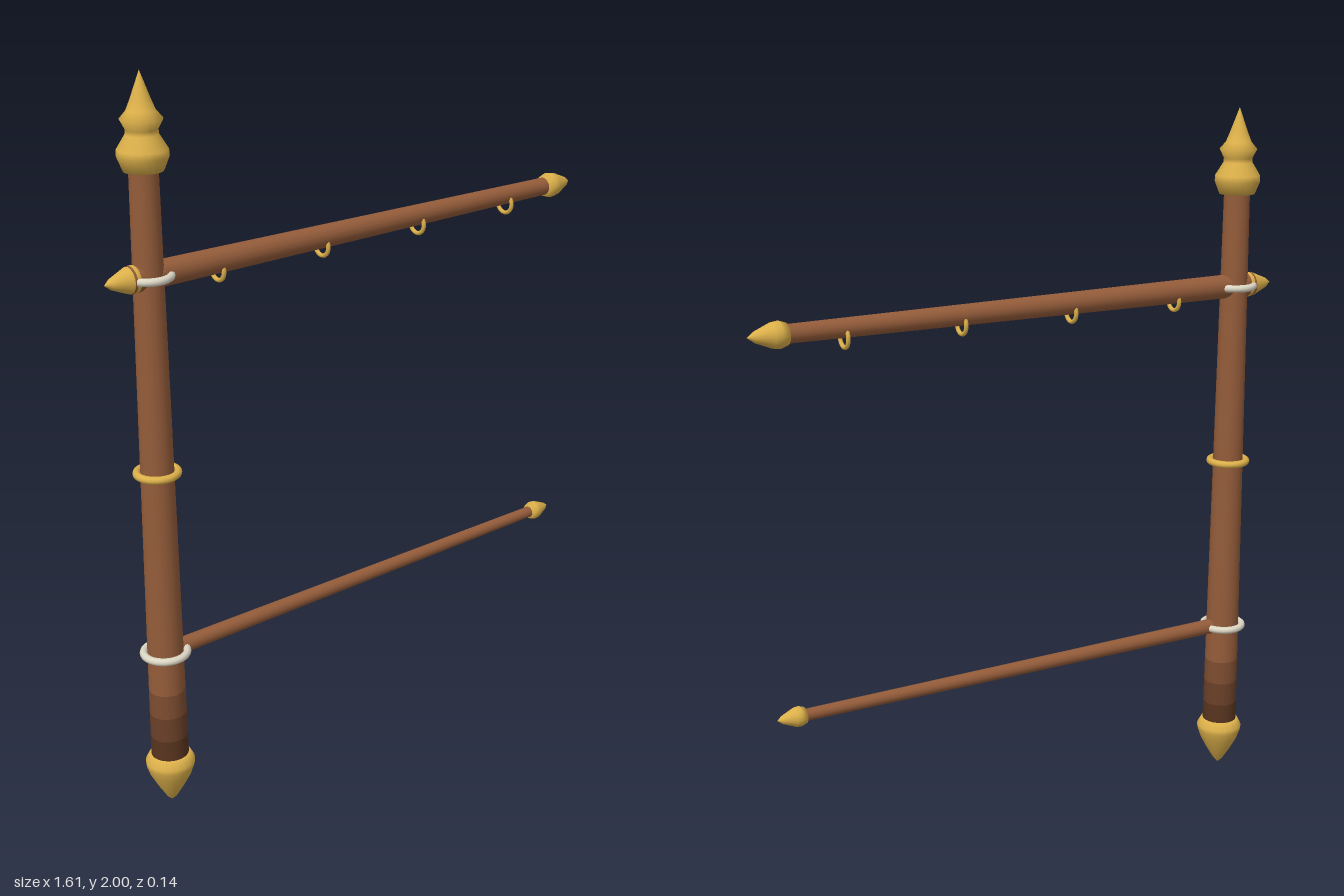
import * as THREE from 'three';

const mat = (name, color) => {
  const m = new THREE.MeshStandardMaterial({ color });
  m.name = name;
  return m;
};

export function createModel() {
  const wood = mat('wood', 0x945c3a);
  const stains = [mat('darkestWood', 0x58341f), mat('darkWood', 0x6a4028), mat('shadedWood', 0x7e4d30)];
  const gold = mat('gold', 0xdcb04a);
  const silver = mat('silver', 0xdcd6c4);

  const model = new THREE.Group();
  model.name = 'bannerStand';
  const postX = -0.677;

  const add = (name, geometry, material, x, y, rotZ = 0) => {
    const mesh = new THREE.Mesh(geometry, material);
    mesh.name = name;
    mesh.position.set(x, y, 0);
    mesh.rotation.z = rotZ;
    model.add(mesh);
  };
  const lathe = (pts, sides = 20) =>
    new THREE.LatheGeometry(pts.map(([r, y]) => new THREE.Vector2(r, y)), sides);

  // Tapered post, stained darker toward the foot
  const postRadius = y => 0.051 - (y - 0.13) * 0.0088;
  const post = (name, y0, y1, material) => add(name,
    new THREE.CylinderGeometry(postRadius(y1), postRadius(y0), y1 - y0, 20, 1, true), material, postX, (y0 + y1) / 2);
  stains.forEach((stain, i) => post('postStain' + (i + 1), 0.14 + i * 0.07, 0.21 + i * 0.07, stain));
  post('post', 0.35, 1.78, wood);

  // Spear-shaped finial and pointed foot
  add('topFinial', lathe([[0, 0], [0.05, 0], [0.064, 0.035], [0.063, 0.052], [0.041, 0.088],
    [0.04, 0.1], [0.053, 0.125], [0.036, 0.145], [0.025, 0.172], [0.013, 0.205], [0, 0.24]]),
  gold, postX, 1.763);
  add('footSpike', lathe([[0, 0], [0.055, 0], [0.067, 0.022], [0.066, 0.036], [0.057, 0.062],
    [0.037, 0.1], [0.014, 0.138], [0, 0.152]]), gold, postX, 0.152, Math.PI);

  // Horizontal arms
  const arm = (name, y, x0, x1, r0, r1) => add(name,
    new THREE.CylinderGeometry(r1, r0, x1 - x0, 16), wood, (x0 + x1) / 2, y, -Math.PI / 2);
  arm('upperArm', 1.5, -0.735, 0.72, 0.035, 0.025);
  arm('lowerArm', 0.46, -0.69, 0.71, 0.0225, 0.0165);

  // Pointed caps on the arm ends
  const cap = (name, x, y, r, length, dir) => add(name,
    lathe([[0, 0], [0.8 * r, 0], [r, 0.2 * length], [0.93 * r, 0.38 * length],
      [0.4 * r, 0.82 * length], [0, length]], 16), gold, x, y, -dir * Math.PI / 2);
  cap('upperArmRightCap', 0.696, 1.5, 0.036, 0.106, 1);
  cap('upperArmLeftCap', -0.7, 1.5, 0.036, 0.104, -1);
  cap('lowerArmCap', 0.688, 0.46, 0.028, 0.08, 1);

  // Bands around the post
  const band = (name, y, radius, tube, material) => {
    const g = new THREE.TorusGeometry(radius, tube, 10, 32).rotateX(Math.PI / 2);
    add(name, g, material, postX, y);
  };
  band('upperBinding', 1.5, 0.056, 0.0105, silver);
  band('middleBand', 0.978, 0.053, 0.0105, gold);
  band('lowerBinding', 0.46, 0.058, 0.0105, silver);

  // Small hanging rings below the upper arm
  const ring = new THREE.TorusGeometry(0.0275, 0.006, 8, 24).rotateY(Math.PI / 2);
  for (let i = 0; i < 4; i++) add('hangingRing' + (i + 1), ring, gold, -0.47 + i * 0.337, 1.476);

  return model;
}
